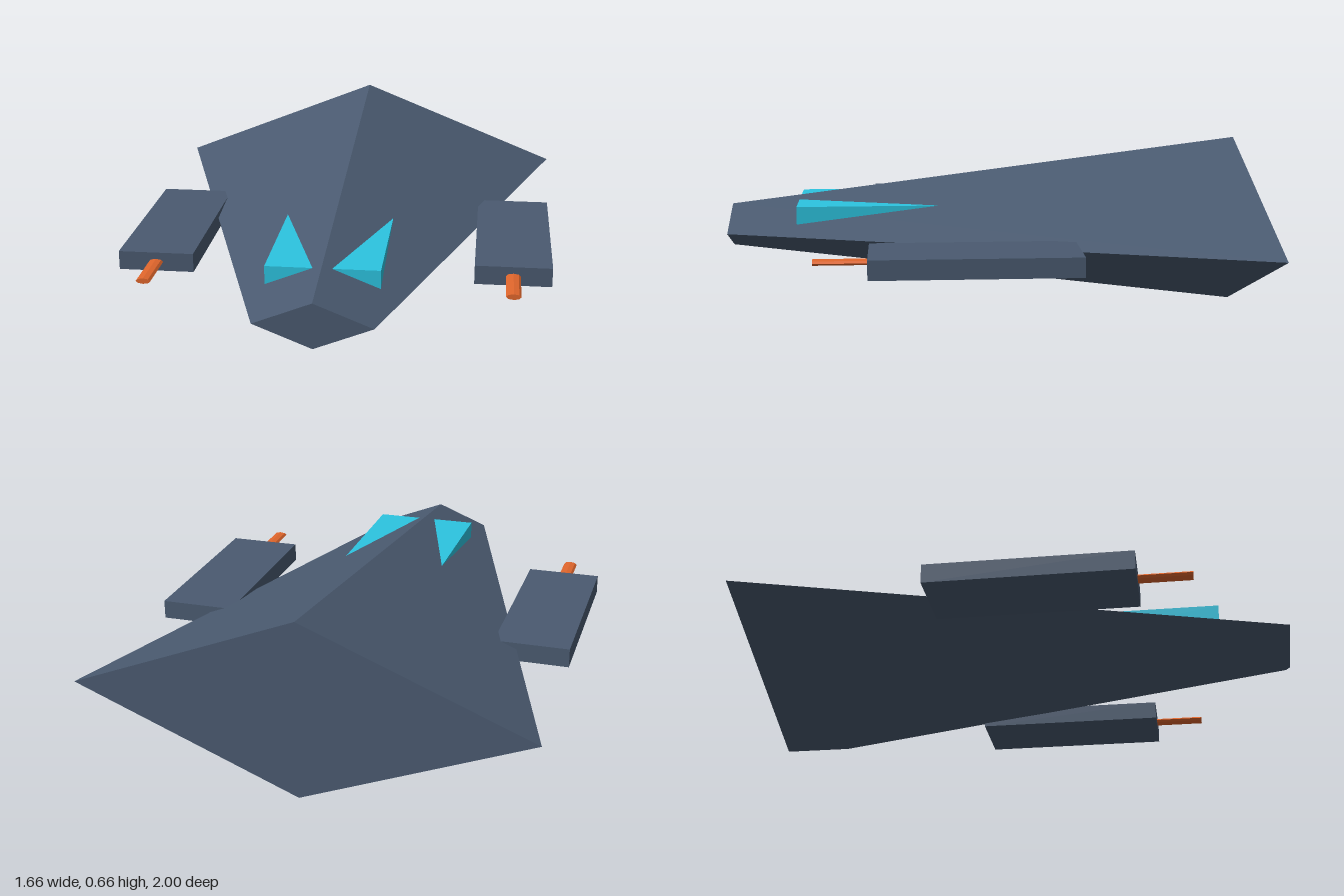
import * as THREE from 'three';

const paint = (color) => new THREE.MeshStandardMaterial({ color, flatShading: true });

function part(name, geometry, material, x, y, z) {
  const mesh = new THREE.Mesh(geometry, material);
  mesh.name = name;
  mesh.position.set(x, y, z);
  return mesh;
}

// Flattened prism lying along z, with its first radius at the front
const flatTube = (front, back, length, sides) =>
  new THREE.CylinderGeometry(front, back, length, sides).rotateX(Math.PI / 2).scale(1, 0.4, 1);

export function createModel() {
  const model = new THREE.Group();
  model.name = 'spaceship';
  const slate = paint(0x4a5a70);
  const cyan = paint(0x2cc4e0);
  const orange = paint(0xe0662c);

  // Diamond hull, tapering to a blunt nose
  model.add(part('hull', flatTube(0.207, 0.83, 2, 4), slate, 0, 0.333, 0));

  // Cockpit block sunk in the hull, so only two window wedges stand out
  model.add(part('cockpit', new THREE.BoxGeometry(0.41, 0.1, 0.6), cyan, 0, 0.385, 0.435));

  // Side pods, each with a gun barrel
  for (const [side, sign] of [['left', 1], ['right', -1]]) {
    const pod = new THREE.Group();
    pod.name = side + 'Wing';
    pod.position.set(sign * 0.667, 0.321, 0);
    pod.add(
      part(side + 'Pod', new THREE.BoxGeometry(0.284, 0.072, 0.75), slate, 0, 0, 0.077),
      part(side + 'Gun', flatTube(0.027, 0.027, 0.4, 8), orange, 0, 0, 0.447)
    );
    model.add(pod);
  }
  return model;
}
